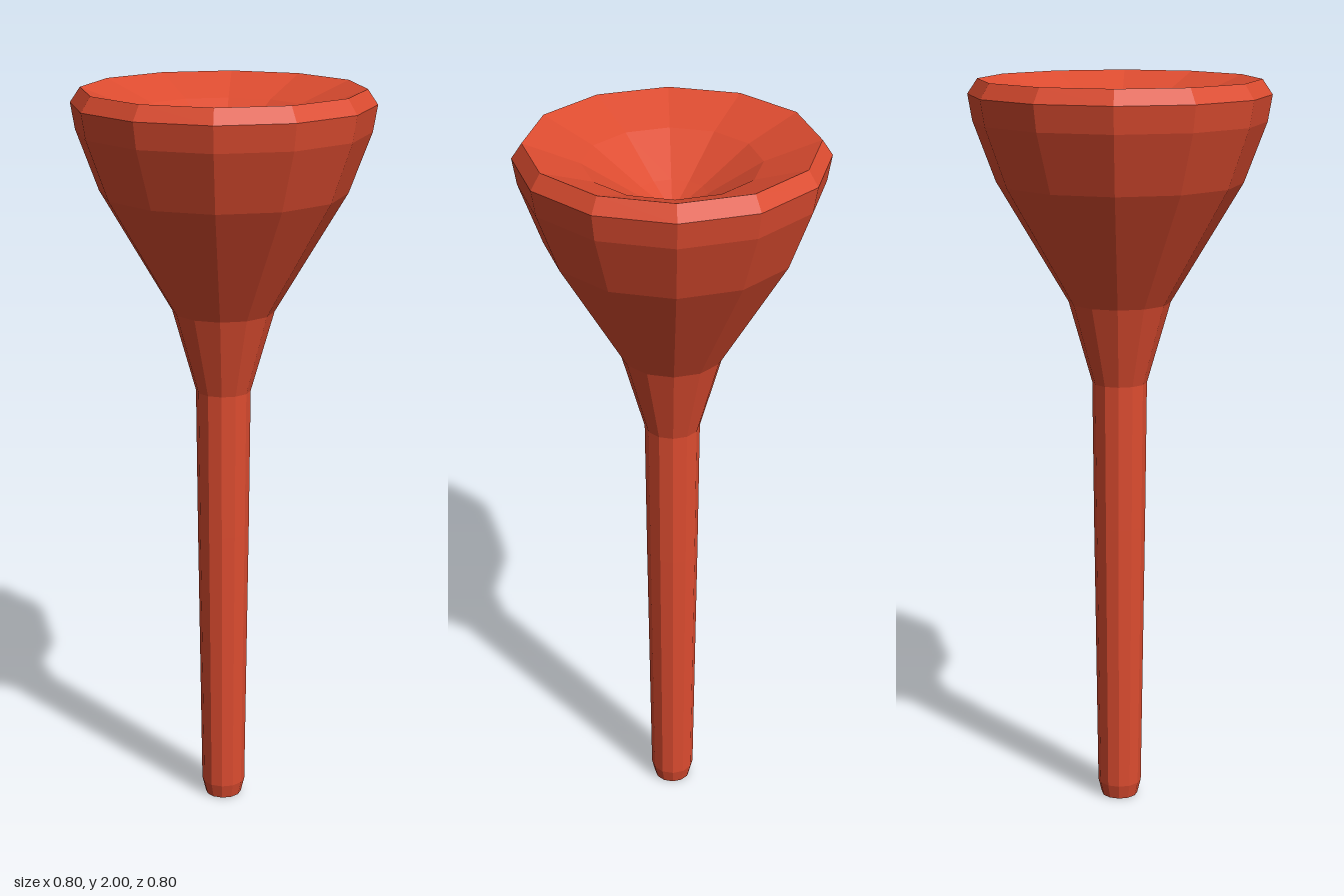
import * as THREE from 'three';

const SIDES = 12;

export function createModel() {
  const red = new THREE.MeshStandardMaterial({ color: 0xdd4c30, flatShading: true });
  red.name = 'red';

  const model = new THREE.Group();
  model.name = 'funnelTrumpet';

  // Turn a [radius, height] profile into a faceted part
  const addTurned = (name, profile) => {
    const points = profile.map(([r, y]) => new THREE.Vector2(r, y));
    const mesh = new THREE.Mesh(new THREE.LatheGeometry(points, SIDES), red);
    mesh.name = name;
    model.add(mesh);
  };

  // Slim tapering stem with a chamfered, closed foot
  addTurned('stem', [[0, 0], [0.05, 0], [0.06, 0.04], [0.07, 0.79], [0.074, 1.19]]);

  // Flaring bell, up to the widest edge and the bevelled rim
  addTurned('bell', [
    [0.074, 1.19], [0.137, 1.41], [0.328, 1.73], [0.388, 1.89], [0.4, 1.96], [0.373, 2],
  ]);

  // Shallow dish sunk into the top
  addTurned('dish', [[0.373, 2], [0.228, 1.945], [0.09, 1.86], [0, 1.81]]);

  return model;
}
